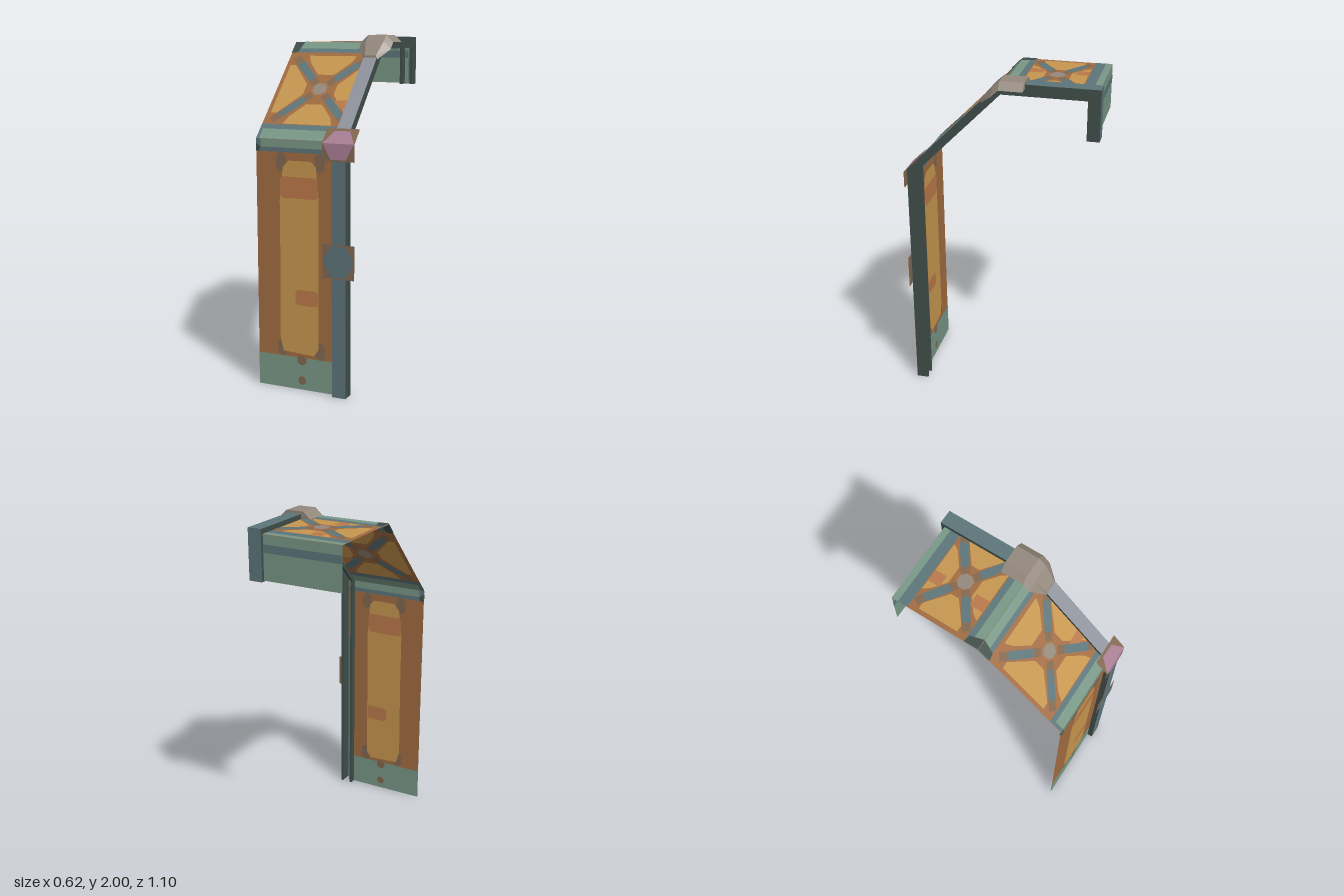
import * as THREE from 'three';

const mat = (name, color) => {
  const m = new THREE.MeshStandardMaterial({ color, side: THREE.DoubleSide });
  m.name = name;
  return m;
};

export function createModel() {
  const M = {
    brown: mat('rust brown', 0xa16c41),
    yellow: mat('ochre', 0xc6964e),
    orange: mat('worn orange', 0xbb784a),
    green: mat('sage green', 0x789786),
    blue: mat('slate teal', 0x5c757a),
    taupe: mat('taupe', 0x82674f),
    dark: mat('dark steel', 0x404d49),
    pink: mat('dusty mauve', 0xa87e95),
    grey: mat('light steel', 0x8f939c),
    stone: mat('stone grey', 0x93887c),
  };
  const model = new THREE.Group();
  model.name = 'archedWallPanel';

  // One group per stretch of a bent path of [z, y] points: x across, y along, z outward
  const segments = (name, path) => path.slice(1).map((b, i) => {
    const a = path[i];
    const g = new THREE.Group();
    g.name = name + (i + 1);
    g.position.set(0, a[1], a[0]);
    g.rotation.x = Math.atan2(b[0] - a[0], b[1] - a[1]);
    g.userData.length = Math.hypot(b[0] - a[0], b[1] - a[1]);
    model.add(g);
    return g;
  });

  const plate = (seg, name, m, pts, z) => {
    const shape = new THREE.Shape(pts.map(p => new THREE.Vector2(p[0], p[1])));
    const mesh = new THREE.Mesh(new THREE.ShapeGeometry(shape), m);
    mesh.name = name;
    mesh.position.z = z;
    seg.add(mesh);
  };
  // Painted patch on both faces of the sheet
  const paint = (seg, name, m, pts, layer) => {
    for (const side of [1, -1]) plate(seg, name, m, pts, side * layer * 0.0015);
  };
  // Rectangle with optional cut corners
  const rect = (x0, y0, x1, y1, c = 0) => c
    ? [[x0 + c, y0], [x1 - c, y0], [x1, y0 + c], [x1, y1 - c],
      [x1 - c, y1], [x0 + c, y1], [x0, y1 - c], [x0, y0 + c]]
    : [[x0, y0], [x1, y0], [x1, y1], [x0, y1]];
  const disc = (x, y, r) => Array.from({ length: 8 }, (_, i) => {
    const a = (i + 0.5) * Math.PI / 4;
    return [x + r * Math.cos(a), y + r * Math.sin(a)];
  });

  // Bent sheet
  const L = -0.31, R = 0.21, CX = -0.035;
  const sheet = segments('sheet', [[0.515, 0], [0.515, 1.435], [0, 1.955], [-0.525, 1.955], [-0.525, 1.7]]);
  const [wall, slope, roof, flap] = sheet;
  sheet.forEach((s, i) => plate(s, 'sheetBase', i === 3 ? M.green : M.brown,
    rect(L, 0, R, s.userData.length), 0));
  const band = (s, m, y0, y1, layer = 1, x0 = L) => paint(s, 'band', m, rect(x0, y0, R, y1), layer);

  // Wall: skirting, long worn patch, corner marks
  band(wall, M.green, 0, 0.19);
  paint(wall, 'spot', M.taupe, disc(CX, 0.175, 0.03), 2);
  paint(wall, 'spot', M.taupe, disc(CX, 0.055, 0.026), 2);
  for (const x of [-0.155, 0.08]) {
    paint(wall, 'cornerMark', M.taupe, rect(x - 0.03, 0.19, x + 0.03, 0.29, 0.02), 1);
    paint(wall, 'cornerMark', M.taupe, rect(x - 0.03, 1.26, x + 0.03, 1.365, 0.02), 1);
  }
  paint(wall, 'longPatch', M.yellow, [[-0.15, 0.22], [0.04, 0.21], [0.07, 0.25], [0.075, 1.1], [0.065, 1.22],
    [0.06, 1.29], [0.03, 1.32], [-0.11, 1.32], [-0.145, 1.28], [-0.15, 1.22], [-0.165, 1.1], [-0.165, 0.75], [-0.17, 0.3]], 2);
  paint(wall, 'wornStripe', M.orange, rect(-0.16, 1.11, 0.07, 1.23, 0.015), 3);
  paint(wall, 'wornStripe', M.orange, rect(-0.07, 0.5, 0.07, 0.59, 0.015), 3);

  // Bands over the bends
  band(wall, M.blue, 1.365, 1.435);
  band(wall, M.green, 1.39, 1.435, 2, -0.28);
  band(slope, M.blue, 0, 0.105);
  band(slope, M.green, 0, 0.07, 2, -0.29);
  paint(wall, 'darkCorner', M.dark, [[L, 1.365], [-0.29, 1.365], [-0.28, 1.39], [L, 1.41]], 3);
  band(slope, M.blue, 0.65, 0.732);
  band(slope, M.green, 0.68, 0.732, 2, -0.27);
  band(roof, M.blue, 0, 0.085);
  band(roof, M.green, 0, 0.05, 2, -0.27);
  paint(slope, 'darkCorner', M.dark, [[L, 0.64], [-0.27, 0.65], [-0.25, 0.732], [L, 0.732]], 3);
  paint(roof, 'darkCorner', M.dark, [[L, 0], [-0.25, 0], [-0.27, 0.075], [L, 0.085]], 3);
  band(roof, M.blue, 0.43, 0.487);
  band(roof, M.green, 0.487, 0.525);
  band(flap, M.blue, 0.055, 0.1);

  // Crossed braces with four worn triangles
  const cross = (seg, cy, h) => {
    const w = 0.25;
    const at = pts => pts.map(([u, v]) => [CX + u * w, cy + v * h]);
    for (const s of [1, -1]) {
      paint(seg, 'wornTriangle', M.yellow, at([[-0.6, s * 0.97], [0.6, s * 0.97], [0.52, s * 0.78],
        [0.2, s * 0.42], [-0.2, s * 0.42], [-0.5, s * 0.76]]), 1);
      paint(seg, 'wornTriangle', M.yellow, at([[s, 0.68], [s * 0.85, 0.68], [s * 0.38, 0.14],
        [s * 0.38, -0.14], [s * 0.85, -0.68], [s, -0.68]]), 1);
      for (const t of [1, -1]) {
        const dx = s * w, dy = t * h, n = Math.hypot(dx, dy);
        const px = -dy / n * 0.024, py = dx / n * 0.024;
        const arm = (a, b) => [[a, 1], [b, 1], [b, -1], [a, -1]]
          .map(([k, q]) => [CX + dx * k + px * q, cy + dy * k + py * q]);
        paint(seg, 'braceEnd', M.taupe, arm(0.15, 0.9), 2);
        paint(seg, 'brace', M.blue, arm(0.28, 0.74), 3);
      }
    }
    paint(seg, 'braceHub', M.stone, disc(CX, cy, 0.045), 4);
  };
  cross(slope, 0.367, 0.265);
  cross(roof, 0.258, 0.172);
  paint(slope, 'wornStripe', M.orange, rect(0.08, 0.23, 0.18, 0.29, 0.01), 2);
  paint(roof, 'wornStripe', M.orange, rect(-0.13, 0.355, -0.06, 0.425), 2);
  paint(roof, 'wornStripe', M.orange, rect(-0.13, 0.092, -0.06, 0.17), 2);

  // Channel rail: two side walls and an outer face
  const outer = [[0.55, 0], [0.55, 1.43], [0, 1.985], [-0.545, 1.985], [-0.545, 1.695]];
  const inner = [[0.48, 0], [0.48, 1.435], [0, 1.92], [-0.475, 1.92], [-0.475, 1.695]];
  const profile = new THREE.Shape([...outer, ...inner.reverse()].map(p => new THREE.Vector2(...p)));
  for (const x of [0.185, 0.25]) {
    const geo = new THREE.ExtrudeGeometry(profile, { depth: 0.015, bevelEnabled: false });
    geo.rotateY(-Math.PI / 2);
    const side = new THREE.Mesh(geo, M.dark);
    side.name = 'railSide';
    side.position.x = x;
    model.add(side);
  }
  const rail = segments('rail', outer);
  rail.forEach((s, i) => plate(s, 'railFace', i === 1 ? M.grey : M.blue,
    rect(0.168, 0, 0.25, s.userData.length), 0.001));

  // Flat joint plate, and one folded over the lower bend
  const JX = 0.208;
  const halfHex = (y, s) => [[JX - 0.092, y], [JX - 0.045, y + s * 0.088], [JX + 0.045, y + s * 0.088], [JX + 0.092, y]];
  plate(rail[0], 'jointPlate', M.taupe, rect(0.112, 0.685, 0.303, 0.878), 0.002);
  for (const s of [1, -1]) plate(rail[0], 'jointHexagon', M.blue, halfHex(0.782, s), 0.004);
  plate(rail[0], 'foldedPlate', M.taupe, rect(0.112, 1.335, 0.303, 1.432), 0.002);
  plate(rail[1], 'foldedPlate', M.taupe, rect(0.112, -0.002, 0.303, 0.105), 0.002);
  plate(rail[0], 'foldedHexagon', M.pink, halfHex(1.432, -1), 0.004);
  plate(rail[1], 'foldedHexagon', M.pink, halfHex(-0.002, 1), 0.004);

  // Upper cap: cross-sections [z, topY, topHalf, sideY, sideHalf]
  const stations = [[-0.135, 2, 0.055, 1.96, 0.098], [0, 2, 0.055, 1.96, 0.098],
    [0.04, 1.965, 0.055, 1.92, 0.098], [0.11, 1.885, 0.035, 1.865, 0.045]];
  const pos = [], idx = [];
  for (const [z, ty, th, sy, sh] of stations) {
    pos.push(JX - sh, sy, z, JX - th, ty, z, JX + th, ty, z, JX + sh, sy, z);
  }
  for (let i = 0; i < 3; i++) {
    for (let j = 0; j < 3; j++) {
      const a = i * 4 + j, b = a + 4;
      idx.push(a, b, a + 1, a + 1, b, b + 1);
    }
  }
  idx.push(0, 1, 2, 0, 2, 3, 12, 14, 13, 12, 15, 14);
  let capGeo = new THREE.BufferGeometry();
  capGeo.setAttribute('position', new THREE.Float32BufferAttribute(pos, 3));
  capGeo.setIndex(idx);
  capGeo = capGeo.toNonIndexed();
  capGeo.computeVertexNormals();
  const cap = new THREE.Mesh(capGeo, M.stone);
  cap.name = 'upperCap';
  model.add(cap);

  return model;
}
